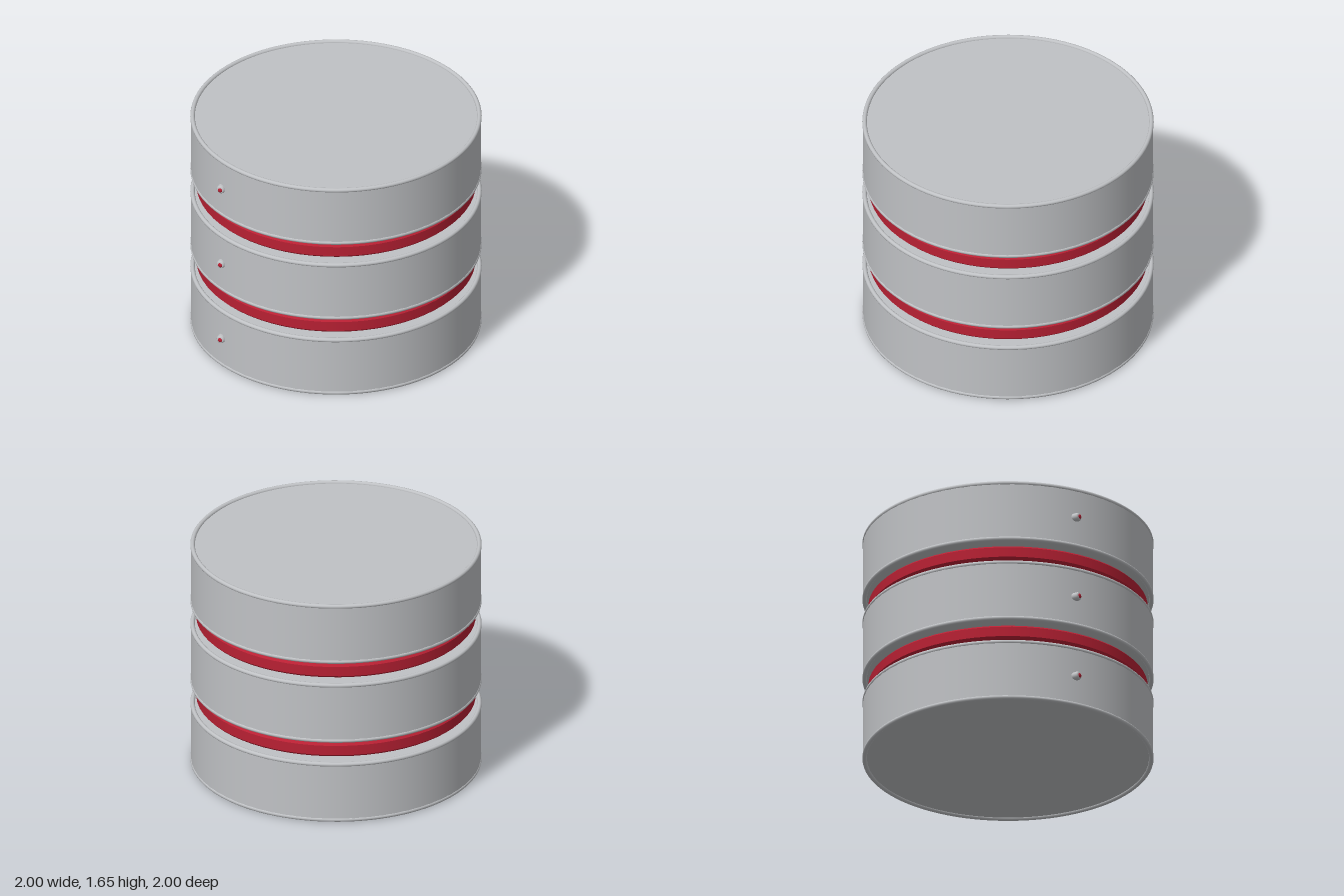
import * as THREE from 'three';

export function createModel() {
  const model = new THREE.Group();
  const gray = new THREE.MeshStandardMaterial({ color: 0xc0c2c5 });
  gray.name = 'silver gray';
  const red = new THREE.MeshStandardMaterial({ color: 0xb82033 });
  red.name = 'deep red';

  const add = (parent, name, geometry, material, x = 0, y = 0, z = 0) => {
    const mesh = new THREE.Mesh(geometry, material);
    mesh.name = name;
    mesh.position.set(x, y, z);
    parent.add(mesh);
    return mesh;
  };

  // shared geometry; the rims sit centred on the drum's end faces
  const drum = new THREE.CylinderGeometry(0.994, 0.994, 0.418, 64);
  const rim = new THREE.TorusGeometry(0.983, 0.016, 12, 96).rotateX(Math.PI / 2);
  const separator = [
    new THREE.CylinderGeometry(0.958, 0.958, 0.07, 64, 1, true),
    new THREE.CylinderGeometry(0.943, 0.958, 0.015, 64),
    new THREE.CylinderGeometry(0.958, 0.943, 0.015, 64),
  ];

  // indicator housing: rounded collar facing the front
  const collar = new THREE.LatheGeometry(
    [[0.03, -0.04], [0.03, 0.004], [0.027, 0.012], [0.021, 0.018], [0, 0.02]]
      .map(([r, h]) => new THREE.Vector2(r, h)), 20).rotateX(Math.PI / 2);
  const lamp = new THREE.SphereGeometry(0.016, 16, 10).scale(1, 1, 0.5);

  // three stacked drums
  for (let i = 0; i < 3; i++) {
    const unit = new THREE.Group();
    unit.name = 'drumUnit' + (i + 1);
    unit.position.y = 0.225 + i * 0.6;
    add(unit, 'drum', drum, gray);
    for (const s of [-1, 1]) add(unit, s > 0 ? 'topRim' : 'bottomRim', rim, gray, 0, s * 0.209, 0);
    add(unit, 'indicatorCollar', collar, gray, -0.5, 0, 0.87);
    add(unit, 'indicatorLamp', lamp, red, -0.5, 0, 0.888);
    model.add(unit);
  }

  // bevelled red discs floating between the drums
  for (let i = 0; i < 2; i++) {
    const disc = new THREE.Group();
    disc.name = 'separatorDisc' + (i + 1);
    disc.position.y = 0.527 + i * 0.6;
    add(disc, 'discWall', separator[0], red);
    add(disc, 'discTop', separator[1], red, 0, 0.0425, 0);
    add(disc, 'discBottom', separator[2], red, 0, -0.0425, 0);
    model.add(disc);
  }

  return model;
}
